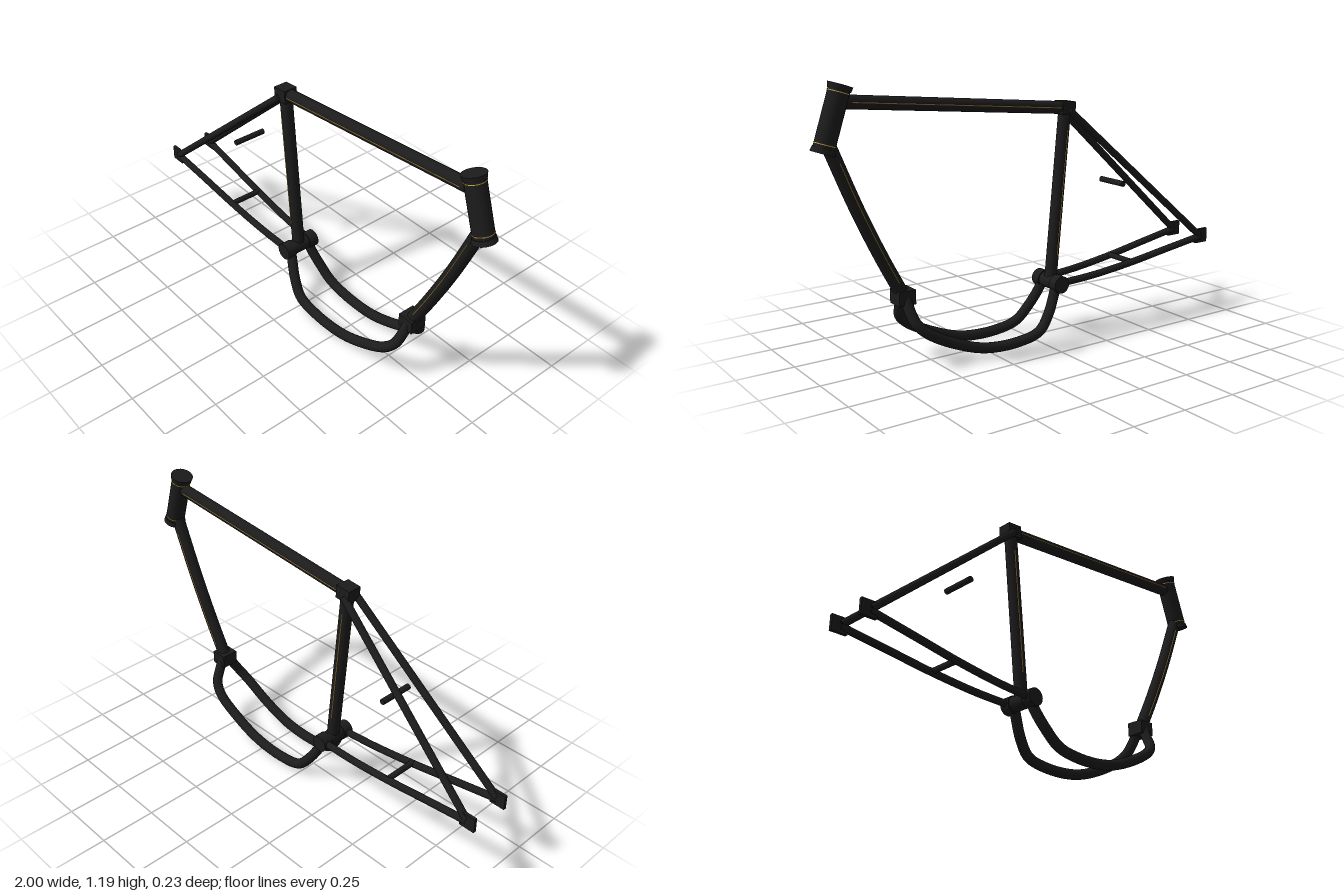
import * as THREE from 'three';

const frameBlack = new THREE.MeshStandardMaterial({ color: 0x1c1c1c });
frameBlack.name = 'frame black';
const pinstripeGold = new THREE.MeshStandardMaterial({ color: 0xd0aa4a });
pinstripeGold.name = 'pinstripe gold';

const V = (x, y, z = 0) => new THREE.Vector3(x, y, z);
const UP = V(0, 1, 0);

export function createModel() {
  const root = new THREE.Group();
  root.name = 'motorcycleFrame';

  const add = (name, geometry, material = frameBlack, parent = root) => {
    const mesh = new THREE.Mesh(geometry, material);
    mesh.name = name;
    parent.add(mesh);
    return mesh;
  };

  // Straight capped cylinder from a to b
  const rod = (name, a, b, r, rEnd = r, material = frameBlack) => {
    const dir = b.clone().sub(a);
    const mesh = add(name, new THREE.CylinderGeometry(rEnd, r, dir.length(), 24), material);
    mesh.position.copy(a).add(b).multiplyScalar(0.5);
    mesh.quaternion.setFromUnitVectors(UP, dir.normalize());
    return mesh;
  };

  // Bent tube through points
  const bent = (name, points, r, segments = 32, material = frameBlack) =>
    add(name, new THREE.TubeGeometry(new THREE.CatmullRomCurve3(points), segments, r, 16), material);

  const block = (name, p, w, h, d, tilt = 0) => {
    const mesh = add(name, new THREE.BoxGeometry(w, h, d));
    mesh.position.copy(p);
    mesh.rotation.z = tilt;
    return mesh;
  };

  // Steering head with collars and gold rings
  const headLow = V(0.948, 0.92), headTop = V(0.864, 1.176);
  const onHead = t => headLow.clone().lerp(headTop, t);
  rod('headTube', onHead(0.02), onHead(0.98), 0.043);
  rod('upperHeadCollar', onHead(0.92), headTop, 0.046, 0.05);
  rod('lowerHeadCollar', headLow, onHead(0.08), 0.05, 0.046);
  for (const t of [0.13, 0.89]) {
    rod('headRing', onHead(t - 0.006), onHead(t + 0.006), 0.0445, 0.0445, pinstripeGold);
  }

  // Main tubes
  const seatTop = V(-0.2, 1.015), bracket = V(-0.125, 0.24);
  rod('topTube', seatTop, V(0.88, 1.112), 0.028);
  rod('seatTube', seatTop, bracket, 0.028);
  const downPath = [V(0.932, 0.97), V(0.815, 0.69), V(0.715, 0.48), V(0.62, 0.3)];
  bent('downTube', downPath, 0.029);

  // Lugs at the tube joints
  block('seatLug', seatTop, 0.07, 0.06, 0.066, 0.08);
  block('downTubeLug', V(0.623, 0.303), 0.076, 0.062, 0.08);

  // Bottom bracket shell and end caps
  rod('bracketShell', V(-0.125, 0.24, -0.06), V(-0.125, 0.24, 0.06), 0.034);

  // Pinstripes of the main tubes, one per side
  const downCurve = new THREE.CatmullRomCurve3(downPath);
  for (const s of [1, -1]) {
    const z = 0.028 * s;
    rod('topTubeStripe', V(-0.16, 1.0186, z), V(0.83, 1.1075, z), 0.002, 0.002, pinstripeGold);
    rod('seatTubeStripe', V(-0.197, 0.92, z), V(-0.142, 0.36, z), 0.002, 0.002, pinstripeGold);
    const stripe = [0.1, 0.3, 0.5, 0.7, 0.87].map(t => downCurve.getPoint(t).add(V(-0.004, 0, 0.029 * s)));
    bent('downTubeStripe', stripe, 0.002, 24, pinstripeGold);
  }

  // Mirrored cradle, stays and dropouts
  for (const s of [1, -1]) {
    const side = s > 0 ? 'front' : 'back';
    bent(side + 'CradleTube', [
      V(0.621, 0.295, 0.02 * s), V(0.617, 0.25, 0.042 * s), V(0.604, 0.2, 0.07 * s),
      V(0.56, 0.155, 0.088 * s), V(0.43, 0.085, 0.093 * s), V(0.28, 0.036, 0.094 * s),
      V(0.11, 0.029, 0.094 * s), V(0, 0.054, 0.091 * s), V(-0.06, 0.12, 0.076 * s),
      V(-0.1, 0.19, 0.058 * s), V(-0.12, 0.235, 0.05 * s),
    ], 0.023, 64);
    rod(side + 'BracketCap', V(-0.125, 0.24, 0.04 * s), V(-0.125, 0.24, 0.087 * s), 0.039);
    bent(side + 'ChainStay', [
      V(-0.125, 0.24, 0.062 * s), V(-0.32, 0.252, 0.07 * s), V(-0.53, 0.277, 0.078 * s),
      V(-0.75, 0.312, 0.086 * s), V(-0.96, 0.345, 0.094 * s),
    ], 0.016);
    rod(side + 'SeatStay', V(-0.205, 1.005, 0.03 * s), V(-0.955, 0.352, 0.094 * s), 0.016);
    block(side + 'Dropout', V(-0.964, 0.349, 0.095 * s), 0.072, 0.068, 0.014);
  }

  // Cross bridges between the stays
  rod('chainStayBridge', V(-0.53, 0.283, -0.078), V(-0.53, 0.283, 0.078), 0.013);
  rod('seatStayBridge', V(-0.479, 0.655, -0.078), V(-0.479, 0.655, 0.078), 0.013);

  return root;
}
